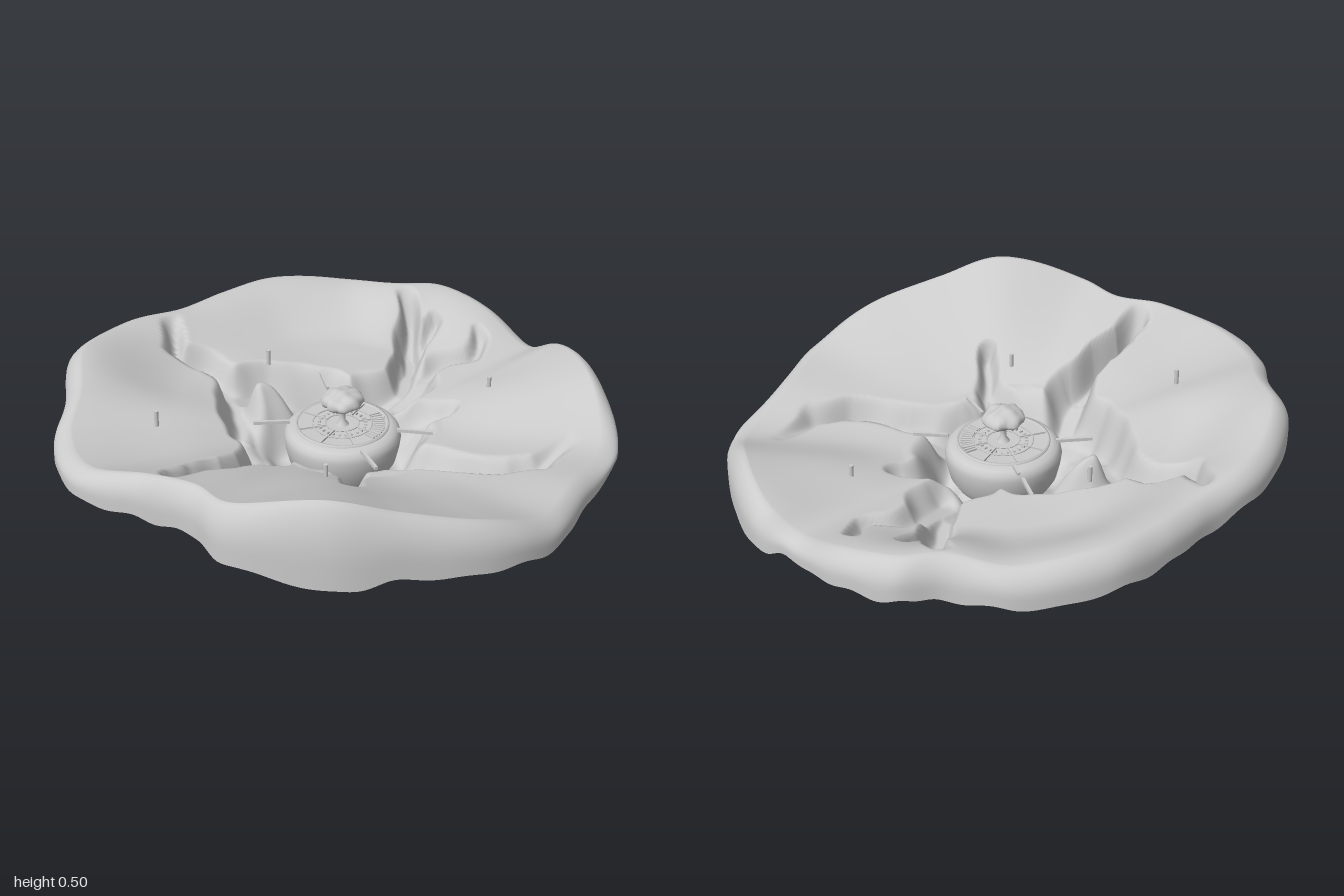
import * as THREE from 'three';

// Rim outline: x, z, crest height, lower edge height
const RIM = [
  [1, 0, .22, .17], [.94, -.34, .33, .16], [.81, -.61, .31, .16], [.68, -.69, .25, .17], [.5, -.87, .32, .2],
  [.3, -.97, .36, .22], [.14, -.95, .37, .22], [-.1, -.99, .35, .22], [-.4, -.9, .38, .24], [-.58, -.74, .38, .25],
  [-.72, -.57, .38, .26], [-.9, -.37, .41, .3], [-1, -.05, .45, .32], [-.95, .22, .42, .31], [-.93, .46, .38, .3],
  [-.81, .67, .38, .29], [-.58, .77, .43, .28], [-.4, .82, .43, .27], [-.26, .94, .44, .25], [.09, .99, .51, .2],
  [.33, .93, .44, .22], [.62, .81, .36, .2], [.8, .62, .28, .18], [.89, .35, .25, .17],
];
// Ravines: points of x, z, half width, floor height
const RAVINES = [
  [[.08, -.25, .12, .08], [.18, -.38, .08, .13], [.21, -.55, .065, .13], [.18, -.68, .06, .13], [.16, -.85, .045, .26]],
  [[.2, -.56, .055, .15], [.25, -.68, .045, .19], [.29, -.74, .03, .25]],
  [[.2, -.28, .08, .12], [.27, -.46, .06, .16], [.42, -.58, .05, .19], [.47, -.68, .035, .23]],
  [[-.1, -.26, .12, .07], [-.3, -.26, .1, .13], [-.43, -.22, .08, .17], [-.52, -.28, .06, .2], [-.65, -.3, .055, .24], [-.7, -.46, .04, .31]],
  [[-.43, -.22, .08, .17], [-.34, 0, .1, .13], [-.27, .14, .12, .08]],
  [[-.2, .2, .14, .08], [-.24, .38, .085, .15], [-.32, .48, .06, .18], [-.42, .56, .055, .21], [-.48, .73, .035, .29]],
  [[.2, .14, .12, .08], [.4, .18, .085, .12], [.6, .2, .075, .11], [.73, .16, .06, .16], [.83, -.01, .035, .21]],
  [[.02, .22, .1, .08], [.09, .36, .06, .17], [.1, .52, .035, .24]],
  [[.2, -.12, .1, .09], [.35, -.18, .07, .16]],
];
const CREST = .94; // crest position as a share of the outline

const { smoothstep, lerp, clamp } = THREE.MathUtils;
const noise = (x, z) => (Math.sin(5.1 * x + 2.3 * z + .7) + Math.sin(-3.7 * x + 6.3 * z + 2.1)
  + Math.sin(9.7 * x - 4.9 * z + 4) * .6 + Math.sin(7.9 * x + 11.3 * z) * .5) / 3.1;

// Ground height inside the rim; t is 0 at the centre and 1 at the crest
function ground(x, z, t, crest) {
  // terraces tilt evenly up to the crest, but lie flatter with a steep bank at the back
  const inner = .247 - .042 * x / Math.max(Math.hypot(x, z), .05);
  const back = smoothstep(-z - .4 * x, 0, .5);
  const rise = lerp(clamp((t - .4) / .6, 0, 1), smoothstep(t, .62, 1), back);
  let y = lerp(inner, crest, rise) + .007 * noise(x * 1.5, z * 1.5);
  // uneven ravine walls, fading out at the crest
  const wx = x + .024 * noise(x * 3.1, z * 3.1 + 3), wz = z + .024 * noise(x * 3.3 + 5, z * 2.9);
  const fade = 1 - smoothstep(t, .86, .99);
  for (const path of RAVINES) {
    let cut = 0, floor = 0;
    for (let i = 0; i + 1 < path.length; i++) {
      const [ax, az, aw, af] = path[i], [bx, bz, bw, bf] = path[i + 1];
      const dx = bx - ax, dz = bz - az;
      const k = clamp(((wx - ax) * dx + (wz - az) * dz) / (dx * dx + dz * dz), 0, 1);
      const d = Math.hypot(wx - ax - dx * k, wz - az - dz * k);
      const s = fade * (1 - smoothstep(d / lerp(aw, bw, k), .2, 1.05));
      if (s > cut) { cut = s; floor = lerp(af, bf, k); }
    }
    if (floor < y) y = lerp(y, floor, cut);
  }
  // basin around the hub
  const r = Math.hypot(x, z) + .035 * noise(x * 3, z * 3 + 1);
  const basin = .045 + .04 * noise(x * 3.2, z * 3.2);
  return Math.max(lerp(y, Math.min(y, basin), 1 - smoothstep(r, .2, .35)), 0);
}

function terrainGeometry() {
  const rimCurve = new THREE.CatmullRomCurve3(RIM.map(p => new THREE.Vector3(p[0], p[2], p[1])), true);
  const lowCurve = new THREE.CatmullRomCurve3(RIM.map(p => new THREE.Vector3(p[0], p[3], p[1])), true);
  const segs = 360, rings = 120, skirt = 10, pos = [], index = [];
  for (let j = 0; j < segs; j++) {
    const top = rimCurve.getPoint(1 - j / segs), low = lowCurve.getPoint(1 - j / segs);
    const edge = ground(top.x * CREST, top.z * CREST, 1, top.y);
    // ragged lower edge
    const ragged = low.y + .01 * Math.sin(j * .43) * Math.sin(j * .11 + 1);
    for (let i = 0; i <= rings + skirt; i++) {
      const at = (i * segs + j) * 3, t = Math.min(1, i / rings);
      let out = CREST * t, y;
      if (i <= rings) {
        y = ground(top.x * out, top.z * out, t, top.y);
      } else {
        // rounded edge, then a wall
        const v = (i - rings) / skirt;
        out = CREST + (1 - CREST) * Math.sin(Math.min(1, v * 1.3) * Math.PI / 2);
        y = lerp(edge, ragged, Math.pow(v, 1.5));
      }
      pos[at] = top.x * out;
      pos[at + 1] = y;
      pos[at + 2] = top.z * out;
    }
  }
  for (let i = 0; i < rings + skirt; i++) for (let j = 0; j < segs; j++) {
    const a = i * segs + j, b = i * segs + (j + 1) % segs, c = a + segs, d = b + segs;
    if (i > 0) index.push(a, b, c);
    index.push(b, d, c);
  }
  const geo = new THREE.BufferGeometry();
  geo.setAttribute('position', new THREE.Float32BufferAttribute(pos, 3));
  geo.setIndex(index);
  geo.computeVertexNormals();
  return geo;
}

export function createModel() {
  const model = new THREE.Group();
  const mat = new THREE.MeshStandardMaterial({ color: 0xcccccc, side: THREE.DoubleSide });
  const add = (name, geo, parent = model, x = 0, y = 0, z = 0) => {
    const mesh = new THREE.Mesh(geo, mat);
    mesh.name = name;
    mesh.position.set(x, y, z);
    parent.add(mesh);
    return mesh;
  };
  const lathe = (pts, n = 64) => new THREE.LatheGeometry(pts.map(p => new THREE.Vector2(...p)), n);

  add('terrain', terrainGeometry());

  // Round hub standing in the basin
  const hub = new THREE.Group();
  hub.name = 'hub';
  hub.position.x = .01;
  model.add(hub);
  add('hubMound', lathe([[.17, .06], [.195, .1], [.207, .15], [.212, .185], [.208, .207], [.196, .222], [.178, .23], [.16, .23]]), hub);
  add('hubDisc', lathe([[.17, .226], [.17, .237], [.16, .237], [.16, .231], [0, .231]]), hub);
  for (const r of [.165, .108, .06]) {
    add('discRing', new THREE.TorusGeometry(r, .0025, 6, 64).rotateX(Math.PI / 2), hub, 0, .236, 0);
  }
  // Spokes, studs and a fan of slats on the disc
  const addRadial = (name, length, width, r, a) =>
    add(name, new THREE.BoxGeometry(length, .008, width).rotateY(-a), hub, r * Math.cos(a), .234, r * Math.sin(a));
  for (let i = 0; i < 8; i++) addRadial('discSpoke', .1, .006, .11, (i + .5) / 8 * Math.PI * 2);
  for (let i = 0; i < 24; i++) addRadial('discStud', .012, .006, .085, i / 24 * Math.PI * 2);
  for (let i = -6; i <= 6; i++) addRadial('discSlat', .042, .007, .134, i * .105);

  // Tree in the middle: flared stem and lumpy crown
  add('treeTrunk', lathe([[.024, .231], [.011, .25], [.01, .28], [.022, .3], [.05, .318]], 16), hub);
  const crown = new THREE.SphereGeometry(1, 32, 20), p = crown.attributes.position;
  for (let i = 0; i < p.count; i++) {
    const x = p.getX(i), y = p.getY(i), z = p.getZ(i);
    const k = 1 + .09 * Math.sin(5 * x + 2 * y) * Math.sin(6 * z + 1) + .05 * Math.sin(9 * x + 7 * z);
    p.setXYZ(i, x * k * .075, y * k * (y > 0 ? .042 : .025), z * k * .078);
  }
  crown.computeVertexNormals();
  add('treeCrown', crown, hub, 0, .325, 0);

  // Thin bridges across the basin: inner and outer ends
  for (const [x0, z0, x1, z1] of [[.21, .02, .34, .025], [.1, .18, .165, .29], [-.18, .01, -.31, .035], [-.075, -.25, -.12, -.37], [-.04, -.17, -.06, -.22]]) {
    const len = Math.hypot(x1 - x0, z1 - z0);
    const bridge = add('bridge', new THREE.BoxGeometry(len, .012, .012), model, (x0 + x1) / 2, .232, (z0 + z1) / 2);
    bridge.rotation.y = -Math.atan2(z1 - z0, x1 - x0);
  }

  // Marker posts on the plateaus
  for (const [x, y, z] of [[-.31, .31, -.32], [.52, .265, -.3], [-.61, .365, .27], [.01, .305, .45]]) {
    add('markerPost', new THREE.CylinderGeometry(.008, .008, .06, 12), model, x, y, z);
  }
  return model;
}
